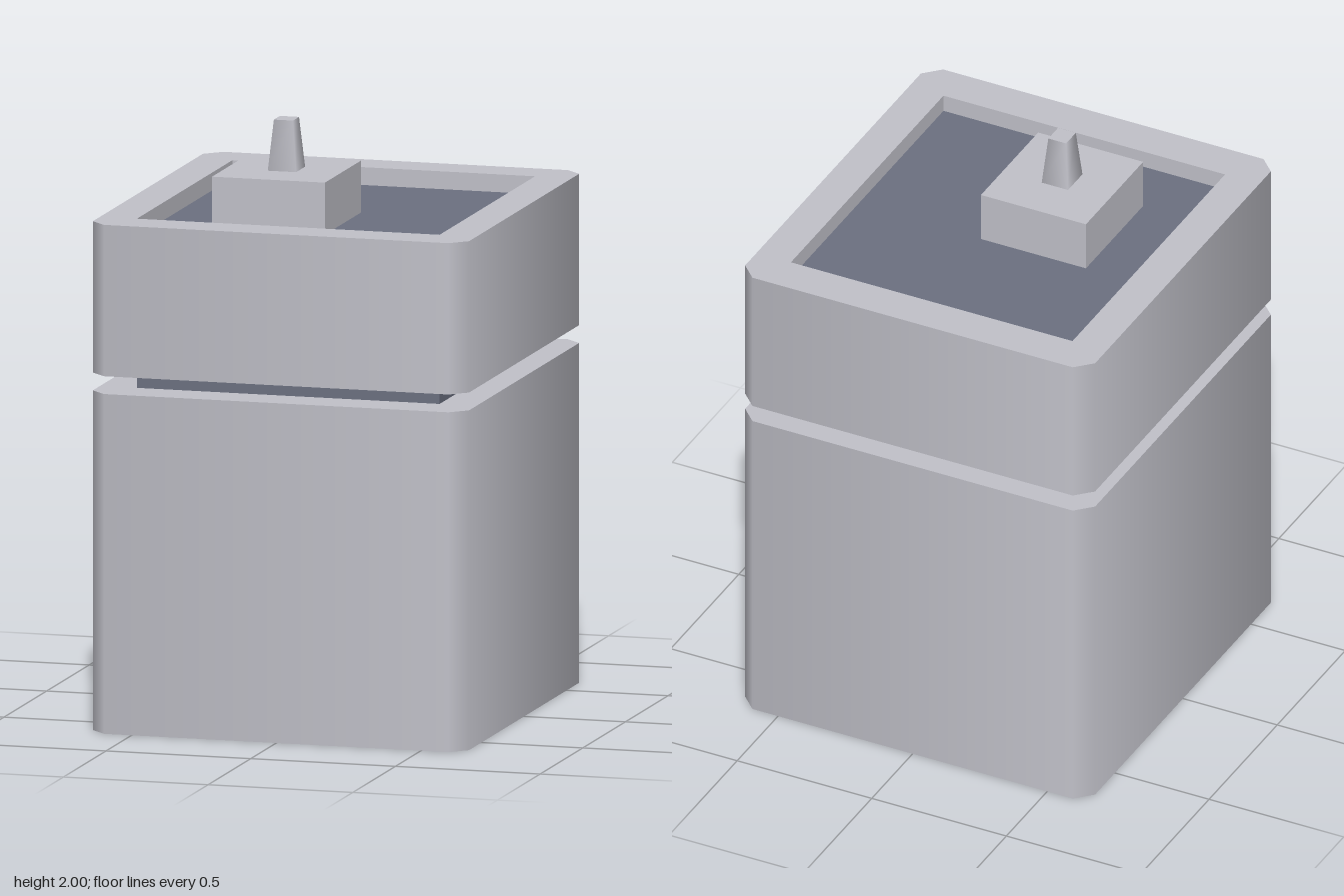
import * as THREE from 'three';

const W = 0.65, D = 0.70, C = 0.055; // half width, half depth, corner chamfer
const IW = 0.523, ID = 0.56;         // half size of the inner core

// Chamfered block from y0 to y1 with soft side shading, optionally hollow
function block(y0, y1, hollow) {
  const shape = new THREE.Shape([
    [W, -D + C], [W, D - C], [W - C, D], [-W + C, D],
    [-W, D - C], [-W, -D + C], [-W + C, -D], [W - C, -D],
  ].map(([x, y]) => new THREE.Vector2(x, y)));
  if (hollow) {
    shape.holes.push(new THREE.Path([
      [IW, -ID], [-IW, -ID], [-IW, ID], [IW, ID],
    ].map(([x, y]) => new THREE.Vector2(x, y))));
  }
  const geo = new THREE.ExtrudeGeometry(shape, { depth: y1 - y0, bevelEnabled: false });
  geo.rotateX(-Math.PI / 2).translate(0, y0, 0);

  // Average the normals along the outer vertical edges
  const p = geo.attributes.position, n = geo.attributes.normal;
  const major = Math.cos(Math.PI / 8), minor = Math.sin(Math.PI / 8);
  for (let i = 0; i < p.count; i++) {
    const x = p.getX(i), z = p.getZ(i);
    const onSide = Math.abs(x) > W - 1e-4, onFront = Math.abs(z) > D - 1e-4;
    if (Math.abs(n.getY(i)) > 0.5 || !(onSide || onFront)) continue;
    n.setXYZ(i, Math.sign(x) * (onSide ? major : minor), 0, Math.sign(z) * (onSide ? minor : major));
  }
  return geo;
}

function box(w, h, d, x, y0, z) {
  return new THREE.BoxGeometry(w, h, d).translate(x, y0 + h / 2, z);
}

export function createModel() {
  const group = new THREE.Group();
  const concrete = new THREE.MeshStandardMaterial({ color: 0xc0c0c8 });
  concrete.name = 'paleConcrete';
  const slate = new THREE.MeshStandardMaterial({ color: 0x6b7080 });
  slate.name = 'slate';

  const add = (name, geo, mat) => {
    const mesh = new THREE.Mesh(geo, mat);
    mesh.name = name;
    group.add(mesh);
  };

  // Main volumes: the core shows in the groove and as the sunken roof
  add('lowerBlock', block(0, 1.145, false), concrete);
  add('upperBlock', block(1.205, 1.715, true), concrete);
  add('coreAndRoof', box(IW * 2, 0.51, ID * 2, 0, 1.145, 0), slate);

  // Rooftop hut and its tapered square chimney
  const hx = -0.13, hz = 0.14;
  add('roofHut', box(0.39, 0.175, 0.42, hx, 1.655, hz), concrete);
  const chimney = new THREE.CylinderGeometry(0.033 * Math.SQRT2, 0.049 * Math.SQRT2, 0.17, 4)
    .rotateY(Math.PI / 4).scale(1, 1, 1.08).translate(hx, 1.915, hz);
  add('chimney', chimney, concrete);

  return group;
}
